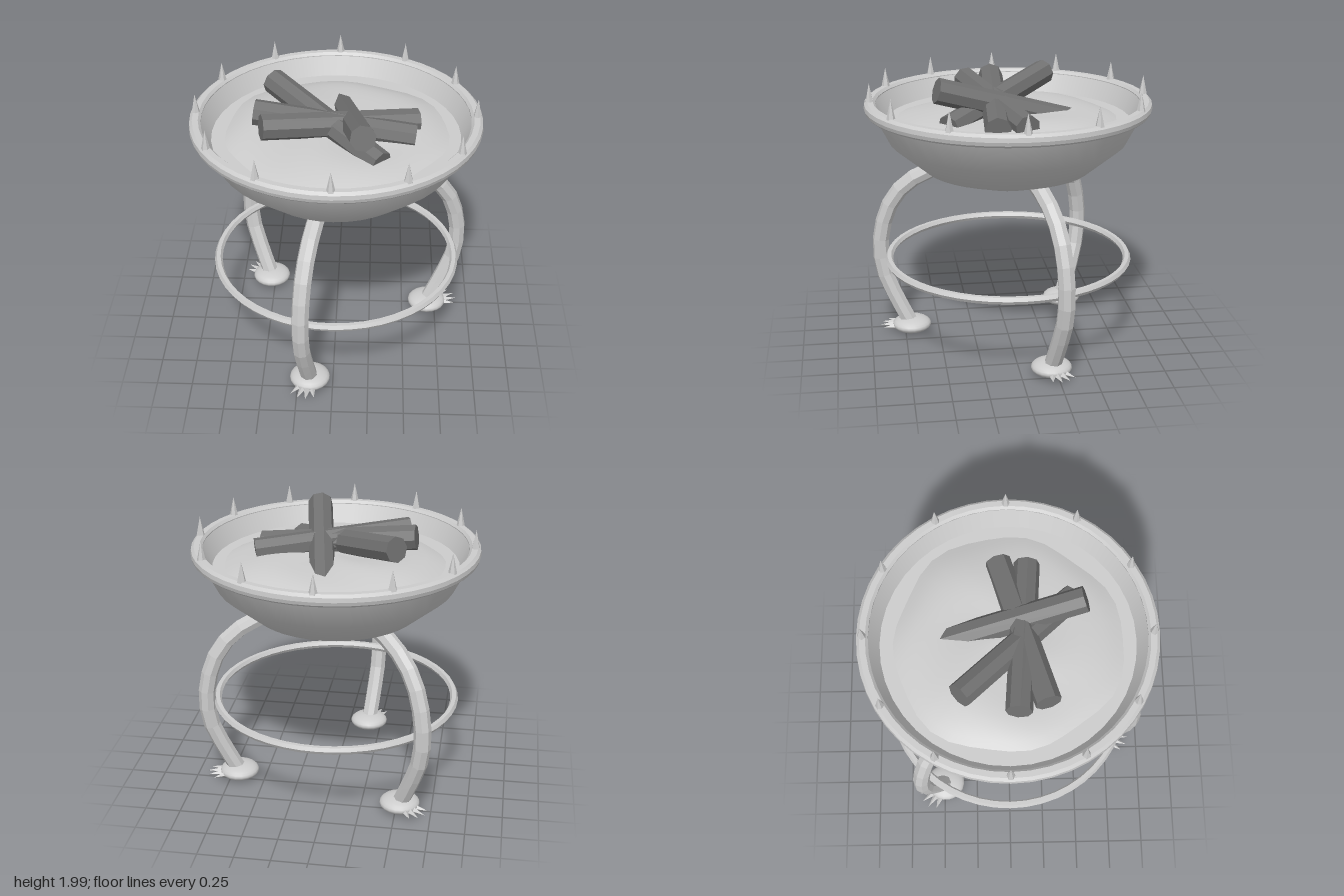
import * as THREE from 'three';
import { toCreasedNormals, mergeVertices } from 'three/addons/utils/BufferGeometryUtils.js';

const V2 = (p) => new THREE.Vector2(...p);
const V3 = (...p) => new THREE.Vector3(...p);
const flat = (geo) => toCreasedNormals(geo, 0.05);

export function createModel() {
  const pale = new THREE.MeshStandardMaterial({ color: 0xcccccc, side: THREE.DoubleSide });
  pale.name = 'pale grey';
  const charred = new THREE.MeshStandardMaterial({ color: 0x707070 });
  charred.name = 'charred wood';

  const model = new THREE.Group();
  model.name = 'firePit';
  const add = (name, geo, mat, parent = model) => {
    const mesh = new THREE.Mesh(geo, mat);
    mesh.name = name;
    parent.add(mesh);
    return mesh;
  };

  // Bowl shell, inner wall and chamfered rim
  const bowl = [[0, 1.195], [0.24, 1.195], [0.59, 1.315], [0.83, 1.515], [0.945, 1.74]].map(V2);
  add('bowl', new THREE.LatheGeometry(bowl, 40), pale);
  add('innerWall', new THREE.LatheGeometry([[0.918, 1.78], [0.85, 1.64]].map(V2), 40), pale);
  const rim = [[0.925, 1.72], [0.975, 1.716], [0.99, 1.73], [0.998, 1.755], [0.995, 1.785], [0.975, 1.803],
    [0.935, 1.803], [0.918, 1.785], [0.925, 1.72]].map(V2);
  add('rim', toCreasedNormals(new THREE.LatheGeometry(rim, 48), 0.4), pale);

  // Twelve spikes around the rim
  const spikeGeo = flat(new THREE.ConeGeometry(0.033, 0.15, 6));
  for (let i = 0; i < 12; i++) {
    const a = (i * Math.PI) / 6;
    const spike = add('rimSpike', spikeGeo, pale);
    spike.position.set(0.957 * Math.cos(a), 1.858, 0.957 * Math.sin(a));
    spike.rotation.y = -a;
  }

  // Ash bed: level layer with an uneven mound on it
  const bed = add('ashBed', new THREE.CircleGeometry(0.857, 40), pale);
  bed.rotation.x = -Math.PI / 2;
  bed.position.y = 1.65;
  const profile = [];
  for (let i = 10; i >= 0; i--) {
    const u = i / 10;
    profile.push(new THREE.Vector2(u, 1.64 + 0.08 * (1 - u ** 5)));
  }
  let mound = new THREE.LatheGeometry(profile, 36);
  const p = mound.attributes.position;
  for (let i = 0; i < p.count; i++) {
    const x = p.getX(i), z = p.getZ(i), u = Math.hypot(x, z), a = Math.atan2(z, x);
    const r = 0.79 + 0.02 * Math.sin(3 * a + 2.5) + 0.015 * Math.sin(7 * a);
    const ripple = (0.01 * Math.sin(3 * a + 5 * u) - 0.01 * Math.sin(a)) * u * (1 - u) * 4;
    p.setXYZ(i, x * r, p.getY(i) + ripple, z * r);
  }
  mound.deleteAttribute('uv');
  mound.deleteAttribute('normal');
  mound = mergeVertices(mound);
  mound.computeVertexNormals();
  add('ashMound', mound, pale);

  // Crossed logs, each given by its two end centres
  const logs = [
    [V3(0.19, 1.91, 0.51), V3(0.02, 1.625, -0.45)],
    [V3(-0.45, 1.88, -0.32), V3(0.31, 1.68, 0.44)],
    [V3(-0.55, 1.84, 0.06), V3(0.54, 1.715, 0.135)],
    [V3(-0.49, 1.83, 0.25), V3(0.555, 1.725, -0.06)],
  ];
  for (const [a, b] of logs) {
    const dir = b.clone().sub(a);
    const log = add('log', flat(new THREE.CylinderGeometry(0.089, 0.089, dir.length(), 8)), charred);
    log.position.copy(a).lerp(b, 0.5);
    log.quaternion.setFromUnitVectors(V3(0, 1, 0), dir.normalize());
  }

  // Brace ring inside the legs
  const ring = add('braceRing', toCreasedNormals(new THREE.TorusGeometry(0.857, 0.028, 6, 48), 0.4), pale);
  ring.rotation.x = Math.PI / 2;
  ring.position.y = 0.64;

  // Three bowed legs with clawed feet
  const path = new THREE.CatmullRomCurve3([[0.73, 0.07], [0.83, 0.27], [0.91, 0.46], [0.936, 0.64],
    [0.917, 0.82], [0.855, 1.0], [0.735, 1.155], [0.56, 1.26], [0.42, 1.31]].map(([x, y]) => V3(x, y, 0)));
  const legGeo = flat(new THREE.TubeGeometry(path, 11, 0.06, 8));
  const footGeo = new THREE.SphereGeometry(0.142, 20, 12).scale(1, 0.4, 1);
  const clawGeo = flat(new THREE.ConeGeometry(0.038, 0.17, 4).rotateZ(-Math.PI / 2).translate(0.155, 0, 0));
  for (const degrees of [17, 137, 257]) {
    const leg = new THREE.Group();
    leg.name = 'leg';
    leg.rotation.y = THREE.MathUtils.degToRad(degrees);
    model.add(leg);
    add('legTube', legGeo, pale, leg);
    add('foot', footGeo, pale, leg).position.set(0.72, 0.06, 0);
    for (const spread of [-0.4, -0.13, 0.13, 0.4]) {
      const claw = add('claw', clawGeo, pale, leg);
      claw.position.set(0.72, 0.05, 0);
      claw.rotation.y = spread;
      claw.scale.x = 1 - 0.25 * Math.abs(spread);
    }
  }
  return model;
}
